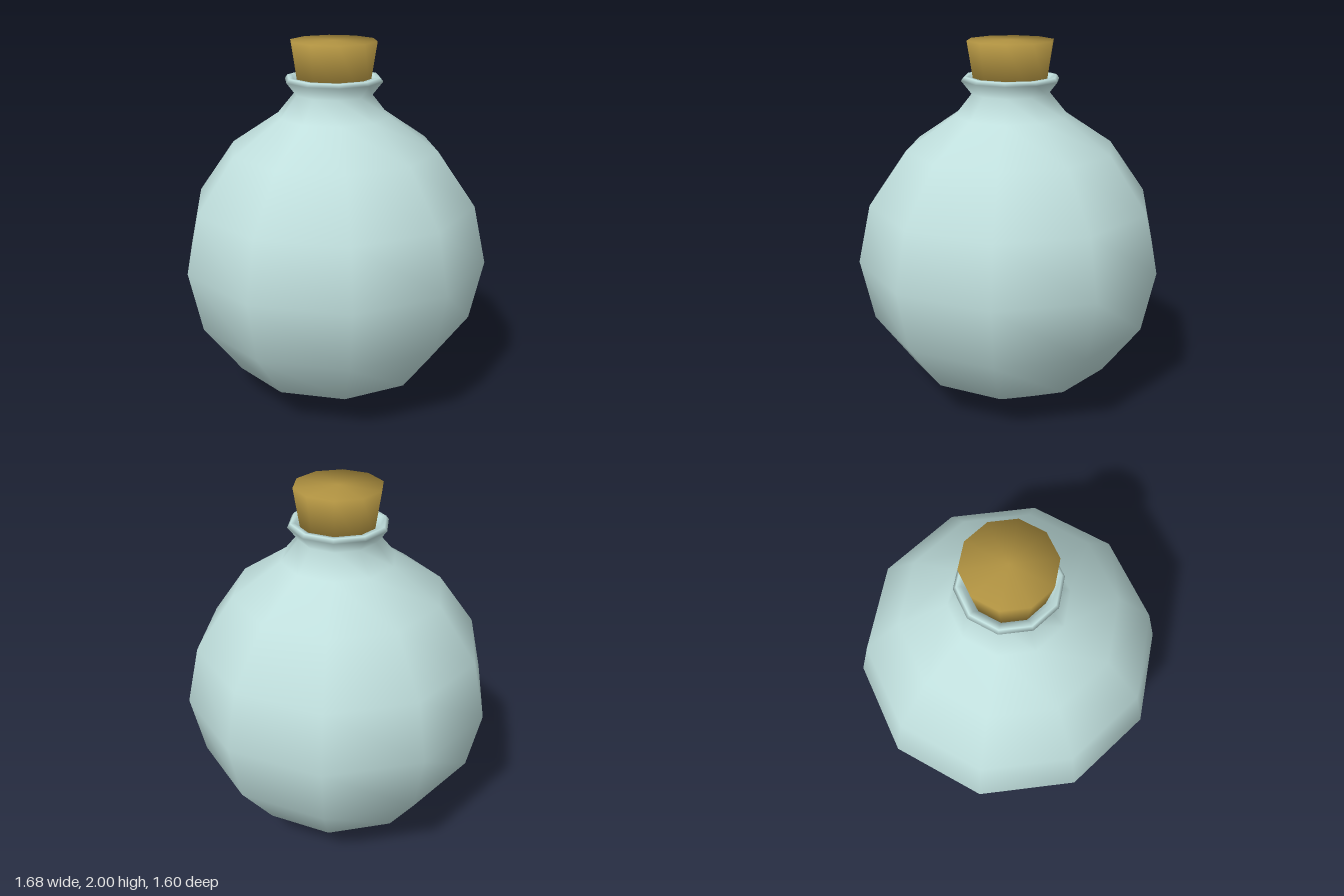
import * as THREE from 'three';

const SIDES = 10;

// Ten-sided turned part, with corners on the x axis; profile runs bottom to top
function turned(name, profile, material) {
  const points = profile.map(([r, y]) => new THREE.Vector2(r, y));
  const mesh = new THREE.Mesh(new THREE.LatheGeometry(points, SIDES, Math.PI / 2), material);
  mesh.name = name;
  return mesh;
}

export function createModel() {
  const glass = new THREE.MeshStandardMaterial({ color: 0xc0dfdd });
  glass.name = 'pale glass';
  const corkBrown = new THREE.MeshStandardMaterial({ color: 0xb09241 });
  corkBrown.name = 'cork brown';

  const group = new THREE.Group();
  group.name = 'corkedFlask';

  // Round body, pinched neck and flared lip that folds in to the cork
  group.add(turned('flask', [
    [0, 0], [0.26, 0.035], [0.563, 0.21], [0.77, 0.495], [0.84, 0.83],
    [0.77, 1.145], [0.565, 1.435], [0.305, 1.61], [0.21, 1.725],
    [0.265, 1.795], [0.25, 1.815], [0.225, 1.815], [0.195, 1.77],
  ], glass));

  // Tapered stopper
  group.add(turned('cork', [
    [0, 1.75], [0.193, 1.75], [0.232, 2], [0, 2],
  ], corkBrown));

  return group;
}
